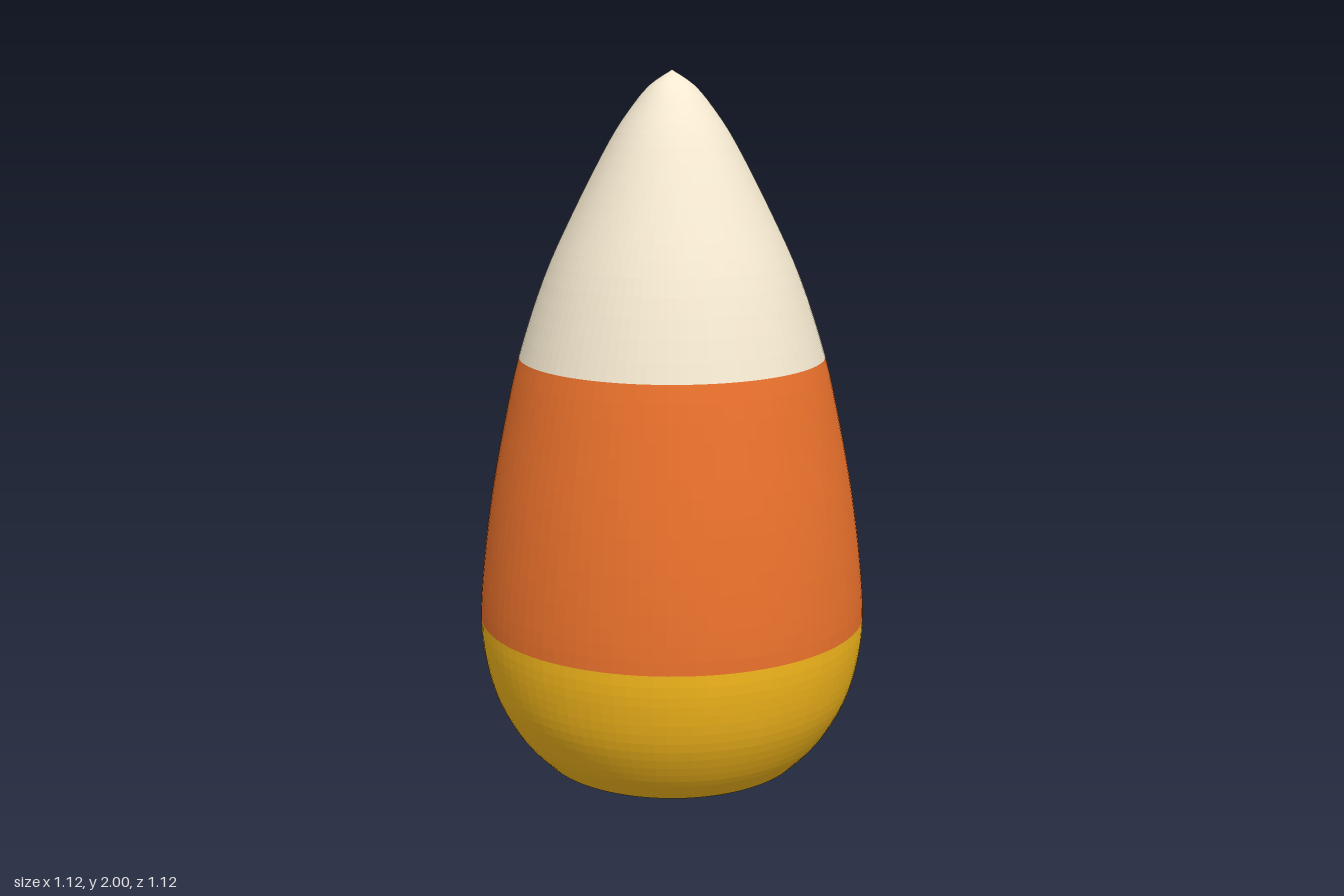
import * as THREE from 'three';

// Outer profile (radius, height), bottom to tip
const PROFILE = [
  [0.352, 0], [0.376, 0.005], [0.395, 0.02], [0.458, 0.09], [0.518, 0.2], [0.549, 0.315],
  [0.56, 0.435], [0.548, 0.6], [0.521, 0.8], [0.483, 1.0], [0.437, 1.2],
  [0.364, 1.42], [0.282, 1.6], [0.178, 1.8], [0.112, 1.9], [0.06, 1.96], [0, 2],
].map(([r, y]) => new THREE.Vector2(r, y));
const LOWER = 6; // knot where the base band ends
const UPPER = 10; // knot where the middle band ends
const STEPS = 4; // samples between knots

export function createModel() {
  const group = new THREE.Group();
  const curve = new THREE.SplineCurve(PROFILE);
  const last = PROFILE.length - 1;

  // One lathed colour band between two profile knots
  function band(name, from, to, color, closedBottom = false) {
    const points = closedBottom ? [new THREE.Vector2(0, 0)] : [];
    for (let i = from * STEPS; i <= to * STEPS; i++) {
      const p = curve.getPoint(i / (last * STEPS));
      points.push(new THREE.Vector2(Math.max(0, p.x), THREE.MathUtils.clamp(p.y, 0, 2)));
    }
    const mesh = new THREE.Mesh(
      new THREE.LatheGeometry(points, 96),
      new THREE.MeshStandardMaterial({ color, flatShading: true })
    );
    mesh.name = name;
    group.add(mesh);
  }

  band('baseBand', 0, LOWER, 0xf5b81c, true);
  band('middleBand', LOWER, UPPER, 0xea712c);
  band('tipBand', UPPER, last, 0xf5e9d0);
  return group;
}
